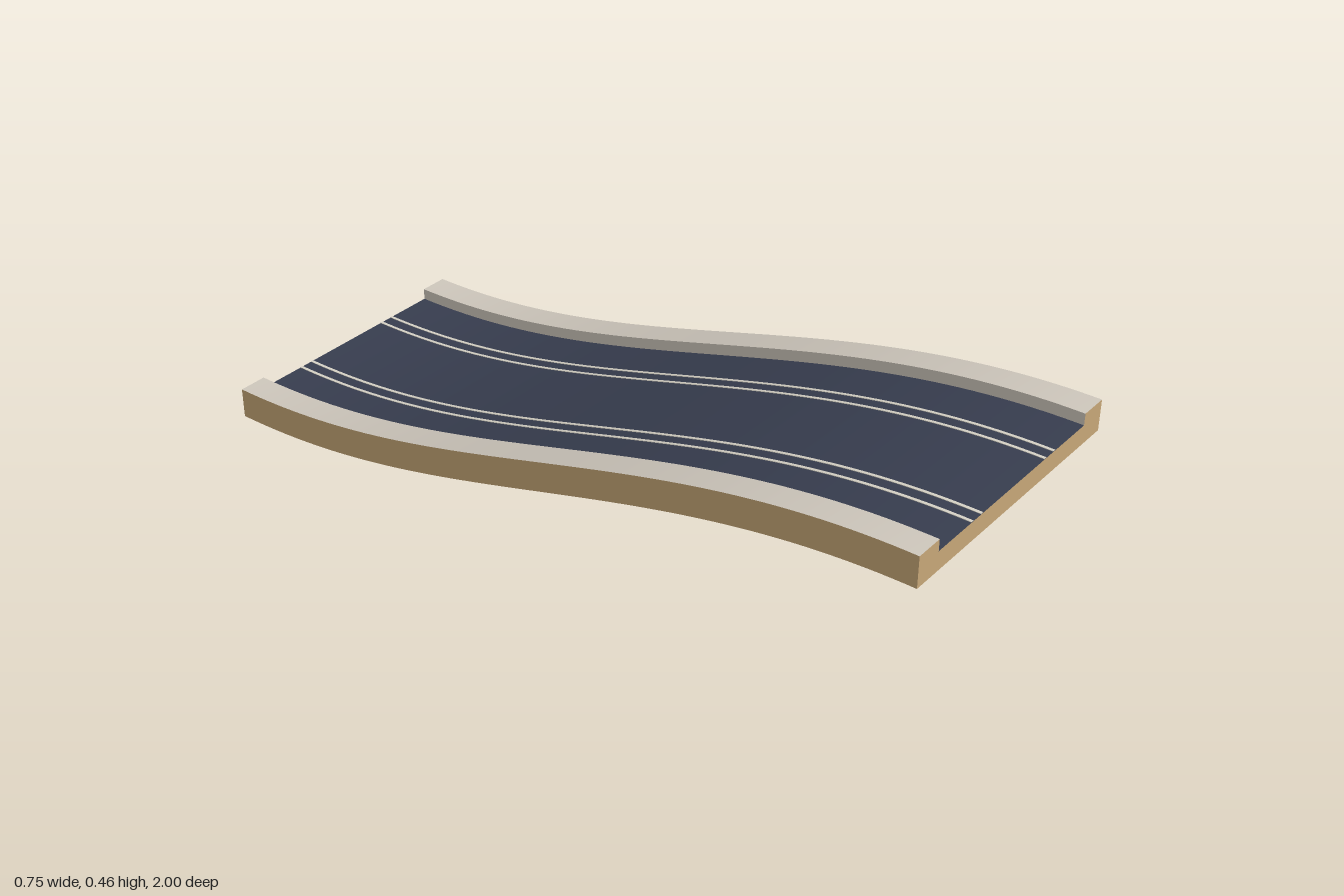
import * as THREE from 'three';

const SEGMENTS = 64;
const RISE = 0.375;
const HALF = 0.375, KERB = 0.3, DECK = 0.05, TOP = 0.08;

// Height of the underside along the S-shaped slope
const slope = z => RISE / 2 * (1 + Math.sin(z * Math.PI / 2));

// Sweeps each edge of a counter-clockwise section along the slope, keeping its corners sharp
function sweep(points) {
  const pos = [], index = [];
  for (let e = 0; e < points.length - 1; e++) {
    const start = pos.length / 3;
    for (let i = 0; i <= SEGMENTS; i++) {
      const z = -1 + 2 * i / SEGMENTS;
      for (const [x, y] of [points[e], points[e + 1]]) pos.push(x, y + slope(z), z);
    }
    for (let i = 0; i < SEGMENTS; i++) {
      const a = start + i * 2;
      index.push(a, a + 1, a + 2, a + 1, a + 3, a + 2);
    }
  }
  const g = new THREE.BufferGeometry();
  g.setAttribute('position', new THREE.Float32BufferAttribute(pos, 3));
  g.setIndex(index);
  g.computeVertexNormals();
  return g;
}

export function createModel() {
  const group = new THREE.Group();
  const material = (name, color) => {
    const m = new THREE.MeshStandardMaterial({ color });
    m.name = name;
    return m;
  };
  const tan = material('tan base', 0xc8a878);
  const asphalt = material('dark blue road', 0x383e50);
  const kerbGrey = material('pale kerb', 0xd0c9be);
  const railPale = material('pale rail', 0xd8d4c8);
  const add = (name, geometry, mat) => {
    const mesh = new THREE.Mesh(geometry, mat);
    mesh.name = name;
    group.add(mesh);
    return mesh;
  };

  // Underside and outer walls
  add('base', sweep([[-HALF, TOP], [-HALF, 0], [HALF, 0], [HALF, TOP]]), tan);

  // Road deck between the kerbs
  add('road', sweep([[KERB, DECK], [-KERB, DECK]]), asphalt);

  // Kerb tops and inner walls
  add('leftKerb', sweep([[HALF, TOP], [KERB, TOP], [KERB, DECK]]), kerbGrey);
  add('rightKerb', sweep([[-KERB, DECK], [-KERB, TOP], [-HALF, TOP]]), kerbGrey);

  // Two lanes, each with a pair of thin rails
  for (const lane of [-0.15, 0.15]) {
    for (const offset of [-0.019, 0.019]) {
      const x = lane + offset, w = 0.004, y = DECK + 0.0015;
      add('rail', sweep([[x + w, DECK], [x + w, y], [x - w, y], [x - w, DECK]]), railPale);
    }
  }

  // End faces
  const section = new THREE.Shape([
    [-HALF, 0], [HALF, 0], [HALF, TOP], [KERB, TOP],
    [KERB, DECK], [-KERB, DECK], [-KERB, TOP], [-HALF, TOP],
  ].map(([x, y]) => new THREE.Vector2(x, y)));
  add('frontEnd', new THREE.ShapeGeometry(section), tan).position.set(0, slope(1), 1);
  const back = add('backEnd', new THREE.ShapeGeometry(section), tan);
  back.position.set(0, slope(-1), -1);
  back.rotation.y = Math.PI;

  return group;
}
